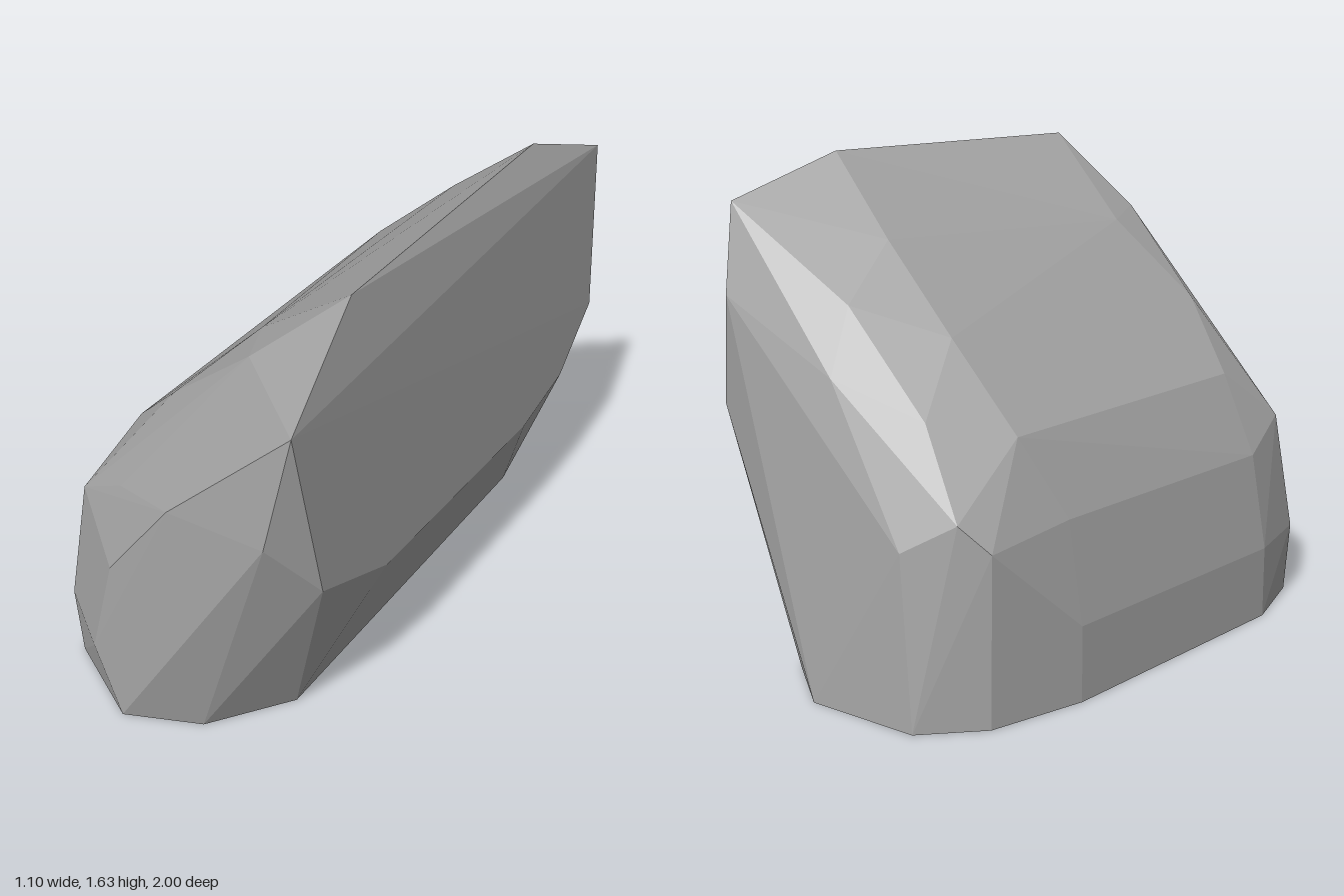
import * as THREE from 'three';
import { ConvexGeometry } from 'three/addons/geometries/ConvexGeometry.js';

// Corners of the boulder as [x, y, z], grouped by region
const base = [
  [0.3, 0, 0.61], [0.11, 0, 0.87], [-0.14, 0, 0.98], [-0.45, 0, 0.81], [-0.55, 0, 0.53],
  [-0.55, 0, -0.44], [-0.48, 0, -0.77], [-0.33, 0, -0.95], [0.06, 0, -1], [0.29, 0, -0.86],
];
const cliff = [
  [0.55, 1.375, 0.98], [0.51, 1.63, 0.63], [0.48, 1.635, -0.49], [0.54, 1.5, -0.87],
  [0.48, 1.22, -0.95], [0.55, 0.86, -0.92], [0.55, 0.66, -0.72], [0.55, 0.59, -0.45],
  [0.55, 0.6, 0.47], [0.55, 0.75, 0.83],
];
const front = [
  [0.46, 0.97, 0.995], [0.11, 0.95, 0.985], [-0.14, 0.62, 0.975], [-0.24, 0.25, 0.975],
  [-0.47, 0.25, 0.81], [-0.43, 0.67, 0.75], [-0.2, 0.82, 0.83], [0.22, 1.375, 0.71],
  [-0.13, 1.08, 0.63],
];
const slope = [
  [-0.55, 0.25, 0.53], [-0.55, 0.25, -0.44], [-0.495, 0.58, 0.52], [-0.495, 0.58, -0.44],
  [-0.365, 0.85, 0.52], [-0.385, 0.84, -0.55], [-0.13, 1.11, -0.57], [0.17, 1.38, -0.55],
  [0.13, 1.345, 0.52],
];
const back = [
  [-0.23, 0.9, -0.78], [0.1, 1.21, -0.78], [-0.42, 0.64, -0.84], [-0.49, 0.55, -0.77],
  [-0.28, 0.55, -0.94], [-0.15, 0.78, -0.88], [0.05, 1.01, -0.9],
];

export function createModel() {
  const model = new THREE.Group();
  model.name = 'rock';
  const stone = new THREE.MeshStandardMaterial({ color: 0xa6a6a6 });
  stone.name = 'grey stone';

  // Faceted boulder: the hull gives every facet its own flat normal
  const corners = [base, cliff, front, slope, back].flat().map((p) => new THREE.Vector3(...p));
  const boulder = new THREE.Mesh(new ConvexGeometry(corners), stone);
  boulder.name = 'boulder';
  model.add(boulder);
  return model;
}
